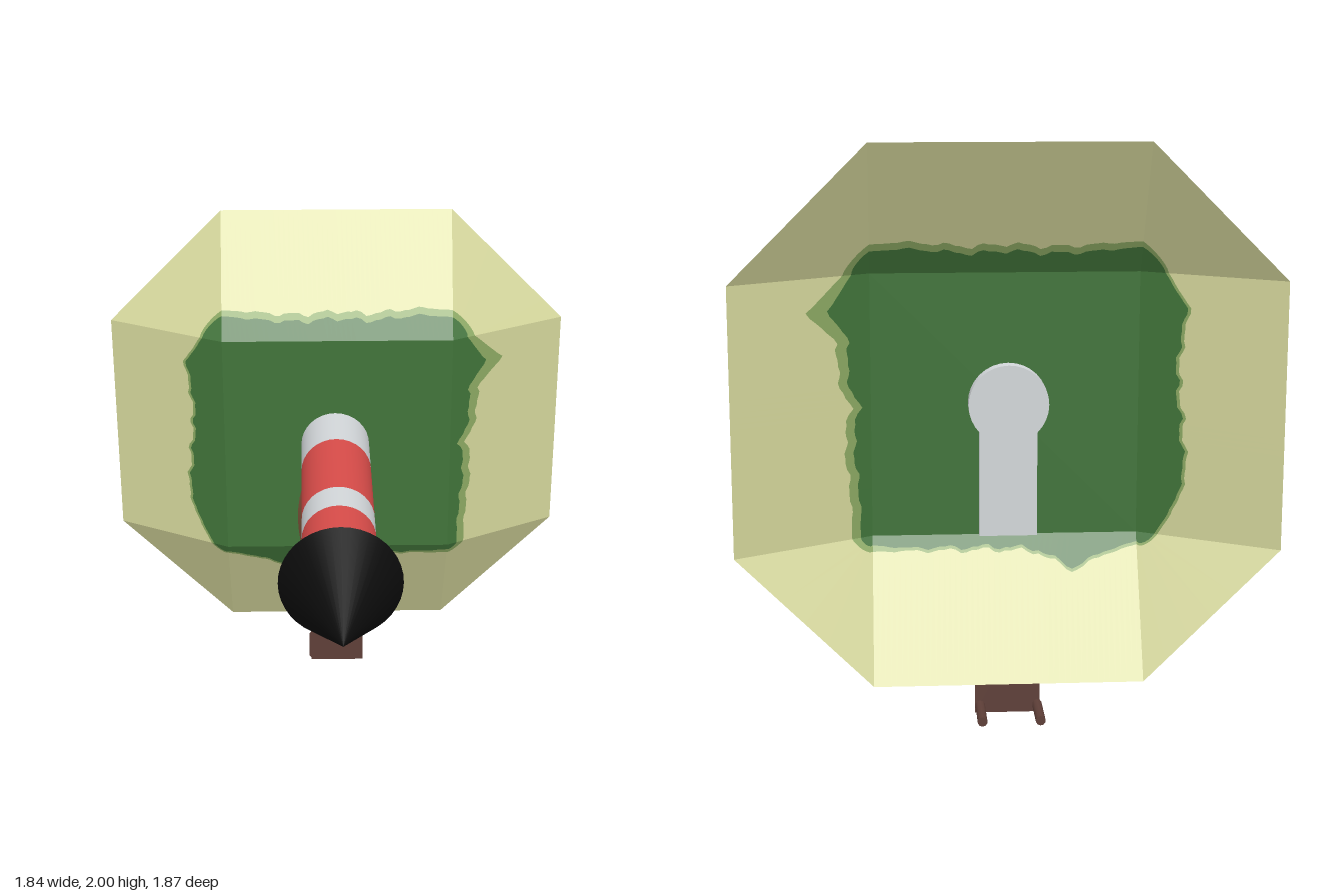
import * as THREE from 'three';

const mat = (name, color, extra = {}) => {
  const m = new THREE.MeshStandardMaterial({ color, ...extra });
  m.name = name;
  return m;
};

export function createModel() {
  const open = { side: THREE.DoubleSide };
  const sand = mat('sand', 0xd4d69b, open);
  const grass = mat('grass', 0x407339, open);
  const fringe = mat('grass fringe', 0x8ba862, open);
  const white = mat('white', 0xd3d7da);
  const red = mat('red', 0xd84c49);
  const gold = mat('lamp gold', 0xc8b87c);
  const black = mat('black', 0x0b0b0b);
  const brown = mat('roof brown', 0x7c5238);
  const wood = mat('dark wood', 0x5e3f38, open);

  const model = new THREE.Group();
  // Everything but the jetty leans slightly
  const body = new THREE.Group();
  body.name = 'lighthouseIsland';
  body.position.set(0, 1.08, -0.672);
  body.rotation.x = -0.0163;
  model.add(body);

  const add = (parent, name, geometry, material, x = 0, y = 0, z = 0) => {
    const mesh = new THREE.Mesh(geometry, material);
    mesh.name = name;
    mesh.position.set(x, y, z);
    parent.add(mesh);
    return mesh;
  };

  // ---- Island: hollow dish with a flat square top and sloping octagonal skirt
  const H = 0.46, DEPTH = 0.25;
  // grass overhang along each side (right, top, left, bottom) and its pale rim
  const sides = [
    { over: [.04, .04, .05, .06, .04, .08, .07, .14, .06], rim: [.03, .03, .03, .03, .03, .03, .04, .07, .03] },
    { over: [.08, .09, .08, .07, .08, .07, .07, .08, .09], rim: [.025, .025, .025, .025, .025, .025, .025, .025, .02] },
    { over: [.08, .15, .13, .12, .13, .14, .15, .12, .06], rim: [.01, .01, .01, .01, .01, .01, .01, .01, .01] },
    { over: [.03, .06, .11, .05, .04, .04, .04, .04, .03], rim: [.01, .01, .01, .01, .01, .01, .01, .01, .02] },
  ];
  const sample = (a, t) => {
    const f = t * (a.length - 1), i = Math.min(Math.floor(f), a.length - 2);
    return a[i] + (a[i + 1] - a[i]) * (f - i);
  };
  // each station: base point on the square, outward direction, overhang, rim width
  const stations = [];
  const N = 48, CORNER = 6;
  sides.forEach((side, s) => {
    const next = sides[(s + 1) % 4];
    const c = Math.round(Math.cos(s * Math.PI / 2)), n = Math.round(Math.sin(s * Math.PI / 2));
    const put = (along, dx, dy, over, rim) => stations.push({
      base: [c * H - n * along, n * H + c * along],
      dir: [c * dx - n * dy, n * dx + c * dy], over, rim,
    });
    for (let i = 0; i <= N; i++) {
      const t = i / N;
      const wave = 0.008 * Math.sin(t * 46 + s) + 0.004 * Math.sin(t * 97);
      put(-H + 2 * H * t, 1, 0, sample(side.over, t) + wave * Math.sin(Math.PI * t), sample(side.rim, t));
    }
    for (let i = 1; i < CORNER; i++) {
      const t = i / CORNER;
      put(H, 1 - t, t, side.over[8] * (1 - t) + next.over[0] * t + 0.05 * t * (1 - t),
        side.rim[8] * (1 - t) + next.rim[0] * t);
    }
  });
  const dishPoint = (st, d) => [
    st.base[0] + st.dir[0] * d, st.base[1] + st.dir[1] * d, -DEPTH * d / H,
  ];
  const strip = (inner, outer) => {
    const pos = [];
    stations.forEach((a, i) => {
      const b = stations[(i + 1) % stations.length];
      const p = dishPoint(a, inner(a)), q = dishPoint(a, outer(a));
      const r = dishPoint(b, outer(b)), u = dishPoint(b, inner(b));
      pos.push(...p, ...q, ...r, ...p, ...r, ...u);
    });
    const g = new THREE.BufferGeometry();
    g.setAttribute('position', new THREE.Float32BufferAttribute(pos, 3));
    g.computeVertexNormals();
    return g;
  };
  const grassEdge = st => st.over, rimEdge = st => st.over + st.rim;
  add(body, 'islandTop', new THREE.PlaneGeometry(2 * H, 2 * H), grass);
  add(body, 'grassOverhang', strip(() => 0, grassEdge), grass);
  add(body, 'grassRim', strip(grassEdge, rimEdge), fringe);
  add(body, 'sandSkirt', strip(rimEdge, () => H), sand);

  // ---- Tower: banded cylinder along z, ending in a black cone
  const X = -0.01, Y = 0.01;
  const bands = [
    ['towerBase', -0.05, 0.25, white], ['lowerRedBand', 0.25, 0.675, red],
    ['whiteBand', 0.675, 0.83, white], ['upperRedBand', 0.83, 1.08, red],
    ['lampRoom', 1.08, 1.18, gold],
  ];
  for (const [name, z0, z1, m] of bands) {
    const g = new THREE.CylinderGeometry(0.138, 0.138, z1 - z0, 32).rotateX(Math.PI / 2);
    add(body, name, g, m, X, Y, (z0 + z1) / 2);
  }
  add(body, 'towerRoof', new THREE.ConeGeometry(0.223, 0.435, 40).rotateX(Math.PI / 2), black, X, Y, 1.383);

  // ---- Keeper's house with an oval cone roof
  const house = new THREE.Group();
  house.name = 'house';
  house.position.set(X, -0.23, 0);
  body.add(house);
  add(house, 'houseWalls', new THREE.BoxGeometry(0.2, 0.46, 0.215), white, 0, 0, 0.0825);
  const roof = new THREE.ConeGeometry(1, 0.265, 40).rotateX(Math.PI / 2).scale(0.155, 0.29, 1);
  add(house, 'houseRoof', roof, brown, 0, 0, 0.3225);
  for (const s of [-1, 1]) {
    // door panel, with a small gold window and a white gap beneath the lintel
    const plate = (name, y0, y1, z0, z1, m) =>
      add(house, name, new THREE.BoxGeometry(0.006, y1 - y0, z1 - z0), m,
        s * 0.101, (y0 + y1) / 2, (z0 + z1) / 2);
    plate('doorLintel', -0.02, 0.075, 0.005, 0.105, brown);
    plate('doorPost', -0.09, -0.02, 0.07, 0.105, brown);
    plate('doorJamb', -0.075, -0.02, 0.005, 0.035, brown);
    plate('doorWindow', -0.085, -0.02, 0.04, 0.066, gold);
  }

  // ---- Jetty: thin board with two round posts
  const jetty = new THREE.Group();
  jetty.name = 'jetty';
  model.add(jetty);
  add(jetty, 'jettyBoard', new THREE.BoxGeometry(0.225, 0.425, 0.004), wood, -0.003, 0.2125, -0.758);
  for (const x of [-0.107, 0.092]) {
    add(jetty, 'jettyPost', new THREE.CylinderGeometry(0.017, 0.017, 0.165, 10).rotateX(Math.PI / 2),
      wood, x, 0.027, -0.8375);
  }
  return model;
}
